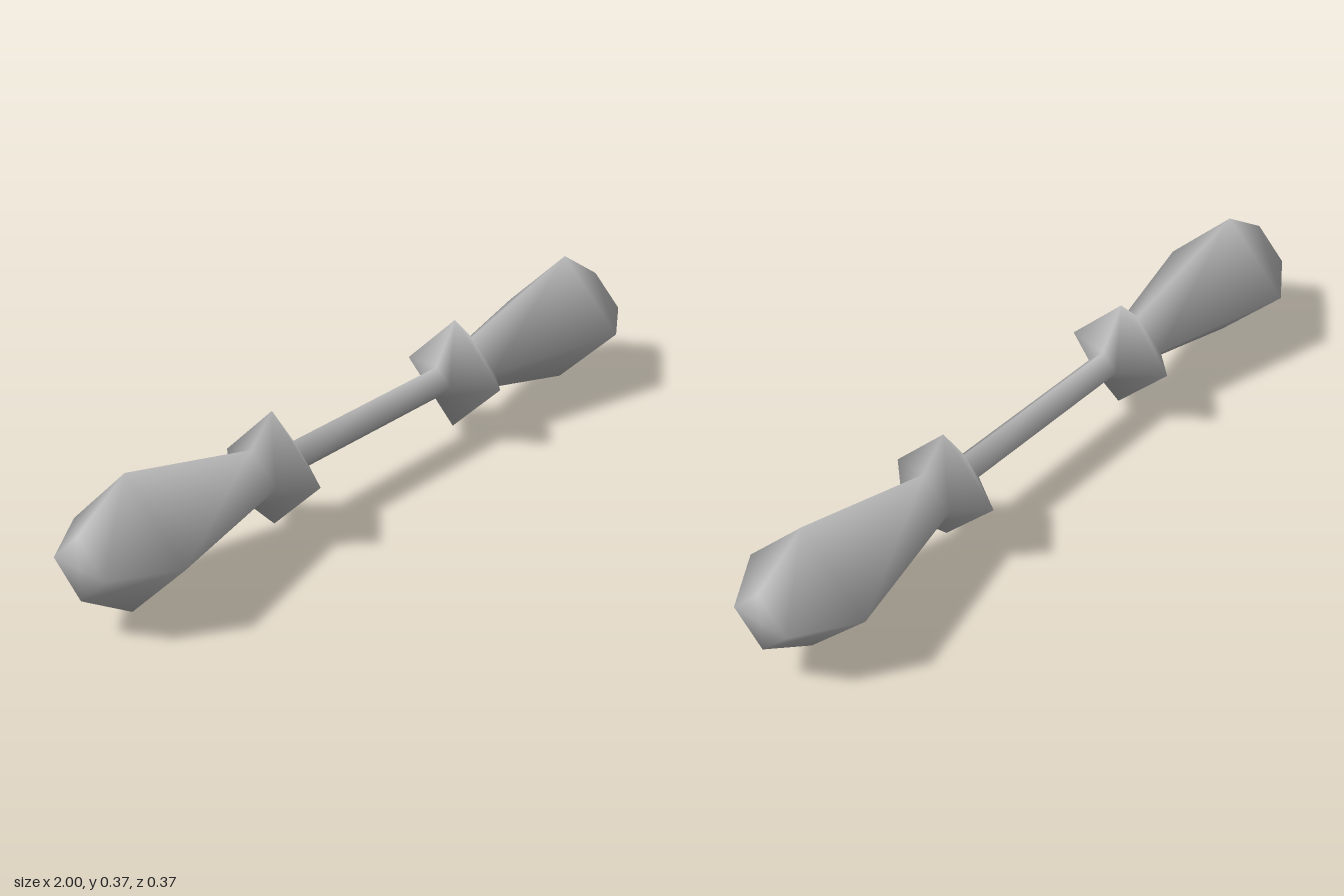
import * as THREE from 'three';

export function createModel() {
  const group = new THREE.Group();
  const grey = new THREE.MeshStandardMaterial({ color: 0xb8b8b8 });
  grey.name = 'grey';

  // Half profile from the middle of the grip outwards: [distance, radius]
  const half = [
    [0.28, 0.046],  // end of grip
    [0.355, 0.157], // collar ridge
    [0.43, 0.08],   // neck
    [0.845, 0.185], // widest part of the head
    [1, 0.084],     // rim
    [1, 0],         // cap centre
  ];
  const profile = [
    ...half.slice().reverse().map(([d, r]) => new THREE.Vector2(r, -d)),
    new THREE.Vector2(0.046, 0),
    ...half.map(([d, r]) => new THREE.Vector2(r, d)),
  ];

  // Four-sided smooth turning, with its corners up, down, front and back
  const geometry = new THREE.LatheGeometry(profile, 4);
  geometry.rotateZ(-Math.PI / 2);
  const handle = new THREE.Mesh(geometry, grey);
  handle.name = 'doubleEndedHandle';
  handle.position.y = 0.185;
  group.add(handle);
  return group;
}
